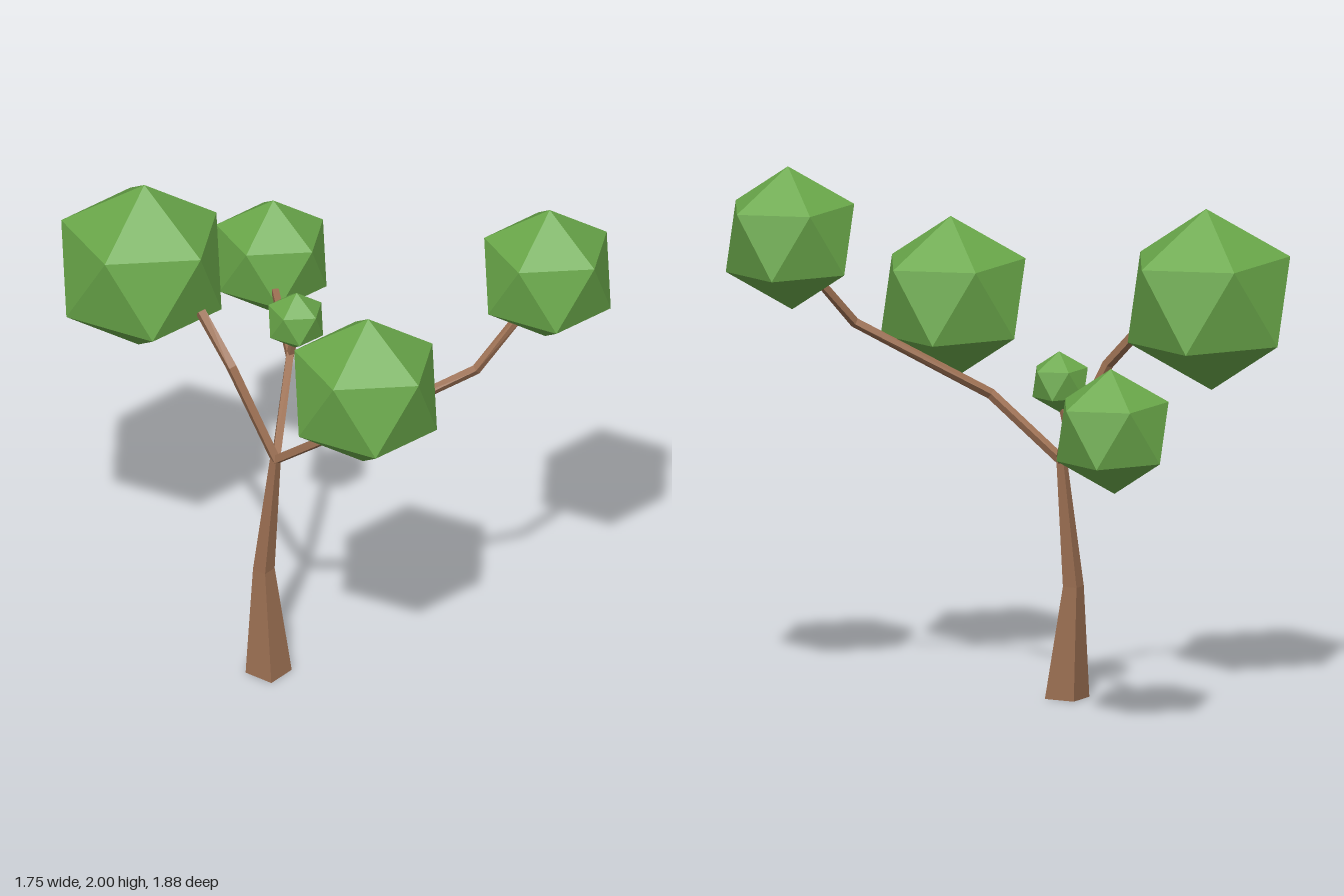
import * as THREE from 'three';

const bark = new THREE.MeshStandardMaterial({ color: 0x9b6f52, flatShading: true });
const leaf = new THREE.MeshStandardMaterial({ color: 0x6aa84a, flatShading: true });
const UP = new THREE.Vector3(0, 1, 0);

// Four-sided tapering limb swept through [x, y, z, radius] stations
function limb(name, stations, { spin = Math.PI / 4, axis = null } = {}) {
  const pts = stations.map(([x, y, z]) => new THREE.Vector3(x, y, z));
  const pos = [];
  const index = [];
  const last = pts.length - 1;
  pts.forEach((p, i) => {
    const t = axis ? axis.clone()
      : pts[Math.min(i + 1, last)].clone().sub(pts[Math.max(i - 1, 0)]).normalize();
    const u = new THREE.Vector3(1, 0, 0).cross(t).normalize();
    const v = t.clone().cross(u);
    for (let k = 0; k < 4; k++) {
      const a = spin + k * Math.PI / 2;
      const c = p.clone()
        .addScaledVector(u, Math.cos(a) * stations[i][3])
        .addScaledVector(v, Math.sin(a) * stations[i][3]);
      pos.push(c.x, c.y, c.z);
      if (i < last) {
        const s = i * 4 + k, n = i * 4 + (k + 1) % 4;
        index.push(s, n, n + 4, s, n + 4, s + 4);
      }
    }
  });
  // end caps
  const e = last * 4;
  index.push(0, 2, 1, 0, 3, 2, e, e + 1, e + 2, e, e + 2, e + 3);
  const g = new THREE.BufferGeometry();
  g.setAttribute('position', new THREE.Float32BufferAttribute(pos, 3));
  g.setIndex(index);
  const flat = g.toNonIndexed();
  flat.computeVertexNormals();
  const mesh = new THREE.Mesh(flat, bark);
  mesh.name = name;
  return mesh;
}

export function createModel() {
  const tree = new THREE.Group();
  tree.name = 'tree';

  // Bent, tapering trunk on a twisted square base
  tree.add(limb('trunk', [
    [-0.283, 0, 0.18, 0.085],
    [-0.287, 0.42, 0.145, 0.04],
    [-0.25, 0.9, 0.168, 0.02],
  ], { spin: THREE.MathUtils.degToRad(73), axis: UP }));

  // Branches fanning out from the fork
  const fork = [-0.25, 0.89, 0.17, 0.02];
  tree.add(
    limb('leftBackBranch'.replace('left', 'right'), [fork, [-0.375, 1.25, 0.05, 0.021], [-0.43, 1.415, -0.105, 0.021]]),
    limb('frontBranch', [fork, [-0.115, 1.11, 0.43, 0.02], [0.345, 1.39, 0.64, 0.019], [0.53, 1.59, 0.64, 0.018]]),
    limb('backBranch', [fork, [-0.035, 1.088, -0.19, 0.019], [0.08, 1.135, -0.6, 0.017]]),
    limb('twig', [[-0.035, 1.085, -0.19, 0.015], [-0.025, 1.2, -0.16, 0.014]]),
  );

  // Foliage: icosahedra standing almost upright on one corner
  const ico = new THREE.IcosahedronGeometry(1, 0);
  ico.rotateZ(-Math.atan(2 / (1 + Math.sqrt(5))));
  ico.rotateY(THREE.MathUtils.degToRad(3));
  ico.rotateZ(THREE.MathUtils.degToRad(-2));
  const crowns = [
    ['rightFoliage', -0.57, 1.528, -0.325, 0.338],
    ['frontFoliage', -0.115, 1.435, 0.68, 0.301],
    ['leftFoliage', 0.63, 1.733, 0.64, 0.267],
    ['backFoliage', 0.133, 1.168, -0.742, 0.233],
    ['smallFoliage', -0.025, 1.25, -0.16, 0.115],
  ];
  for (const [name, x, y, z, r] of crowns) {
    const m = new THREE.Mesh(ico, leaf);
    m.name = name;
    m.position.set(x, y, z);
    m.scale.setScalar(r);
    tree.add(m);
  }
  return tree;
}
